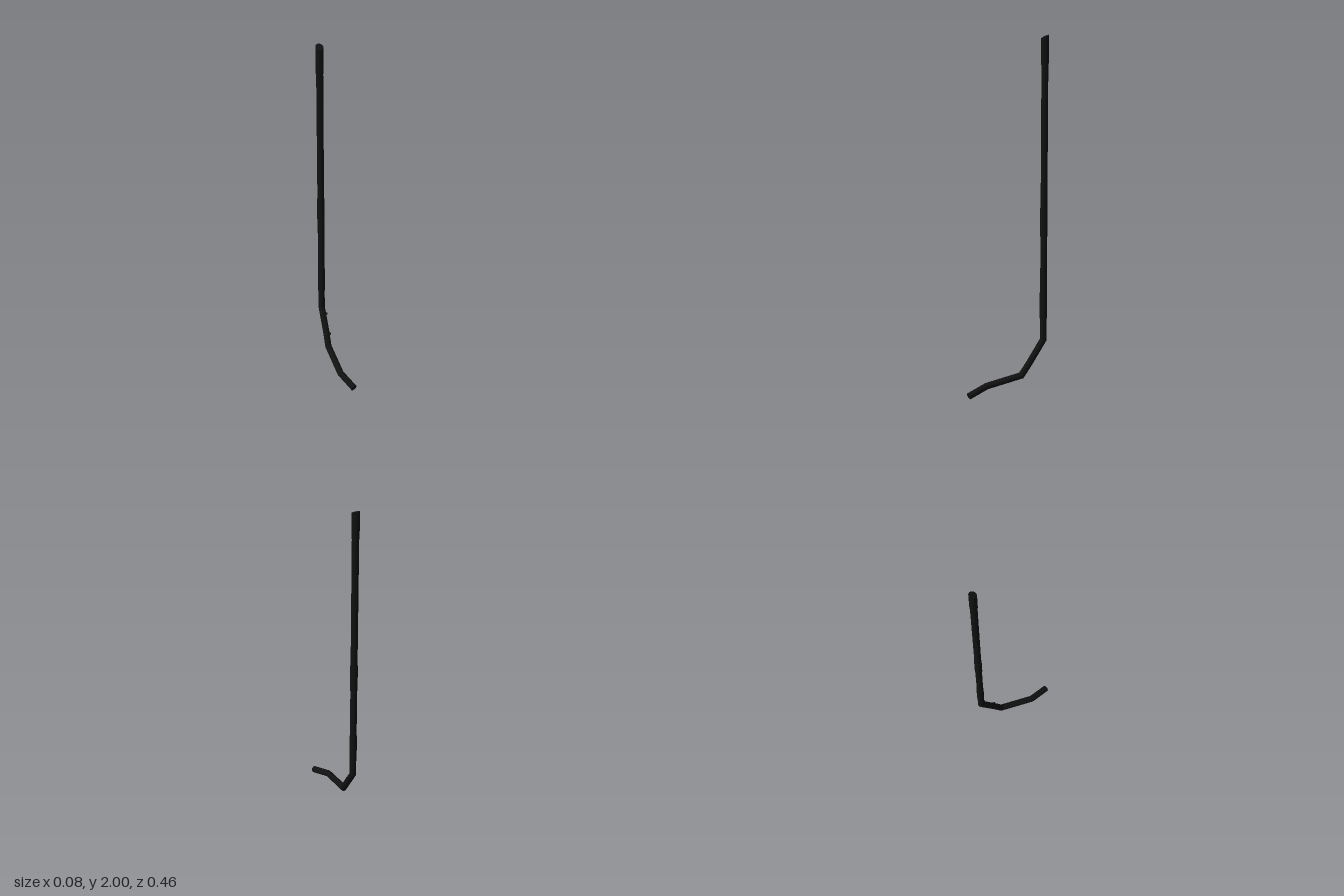
import * as THREE from 'three';

const V = (x, y, z) => new THREE.Vector3(x, y, z);
const UP = V(0, 1, 0);
const SIDES = 32;

// Round bar from a to b whose ends are cut by planes with normals na and nb
function cutBar(a, b, na, nb, radius) {
  const d = b.clone().sub(a);
  const length = d.length();
  d.normalize();
  const geo = new THREE.CylinderGeometry(radius, radius, length, SIDES);
  const turn = new THREE.Quaternion().setFromUnitVectors(UP, d);
  const mid = a.clone().add(b).multiplyScalar(0.5);
  const pos = geo.attributes.position, nor = geo.attributes.normal;
  for (let i = 0; i < pos.count; i++) {
    const p = V(0, 0, 0).fromBufferAttribute(pos, i);
    const n = V(0, 0, 0).fromBufferAttribute(nor, i);
    const top = p.y > 0, cap = Math.abs(n.y) > 0.9;
    const point = top ? b : a, plane = top ? nb : na;
    p.applyQuaternion(turn).add(mid);
    p.addScaledVector(d, plane.dot(point.clone().sub(p)) / plane.dot(d));
    if (cap) n.copy(plane).multiplyScalar(top ? 1 : -1);
    else n.applyQuaternion(turn);
    pos.setXYZ(i, p.x, p.y, p.z);
    nor.setXYZ(i, n.x, n.y, n.z);
  }
  return geo;
}

export function createModel() {
  const model = new THREE.Group();
  model.name = 'bentStick';
  const black = new THREE.MeshStandardMaterial({ color: 0x111111 });
  const add = (name, geo, parent = model) => {
    const mesh = new THREE.Mesh(geo, black);
    mesh.name = name;
    parent.add(mesh);
    return mesh;
  };

  // Centre line from the tip of the foot to the top of the shaft
  const path = [
    V(0.02, 0.019, 0.222),
    V(-0.021, 0.055, 0.112),
    V(-0.021, 0.102, -0.087),
    V(-0.017, 0.175, -0.133),
    V(-0.016, 0.305, -0.211),
    V(-0.016, 1.99, -0.211),
  ];
  const slant = V(0, 1, 0.45).normalize();
  const dirs = path.slice(1).map((p, i) => p.clone().sub(path[i]).normalize());
  const planes = path.map((p, i) => {
    if (i === 0) return dirs[0];
    if (i === path.length - 1) return slant;
    return dirs[i - 1].clone().add(dirs[i]).normalize();
  });

  // Mitred bars
  const names = ['footTip', 'foot', 'lowerNeck', 'upperNeck', 'shaft'];
  names.forEach((name, i) =>
    add(name, cutBar(path[i], path[i + 1], planes[i], planes[i + 1], 0.0185)));

  // Sleeves round the shaft, the top one sharing the slanted cut
  const sleeves = [['lowerSleeve', 0.43, 0.58], ['middleSleeve', 0.9, 1.06], ['topGrip', 1.84, 1.991]];
  sleeves.forEach(([name, y0, y1]) =>
    add(name, cutBar(V(-0.016, y0, -0.211), V(-0.016, y1, -0.211), UP,
      name === 'topGrip' ? slant : UP, 0.0205)));

  // Small pins on the left side of the neck
  const pins = new THREE.Group();
  pins.name = 'neckPins';
  model.add(pins);
  [[0.01, 0.265, -0.187], [0.008, 0.162, -0.123]].forEach(([x, y, z]) => {
    const pin = new THREE.CylinderGeometry(0.0065, 0.0065, 0.024, 16);
    pin.rotateZ(Math.PI / 2).translate(x - 0.012, y, z);
    add('pin', pin, pins);
  });

  return model;
}
